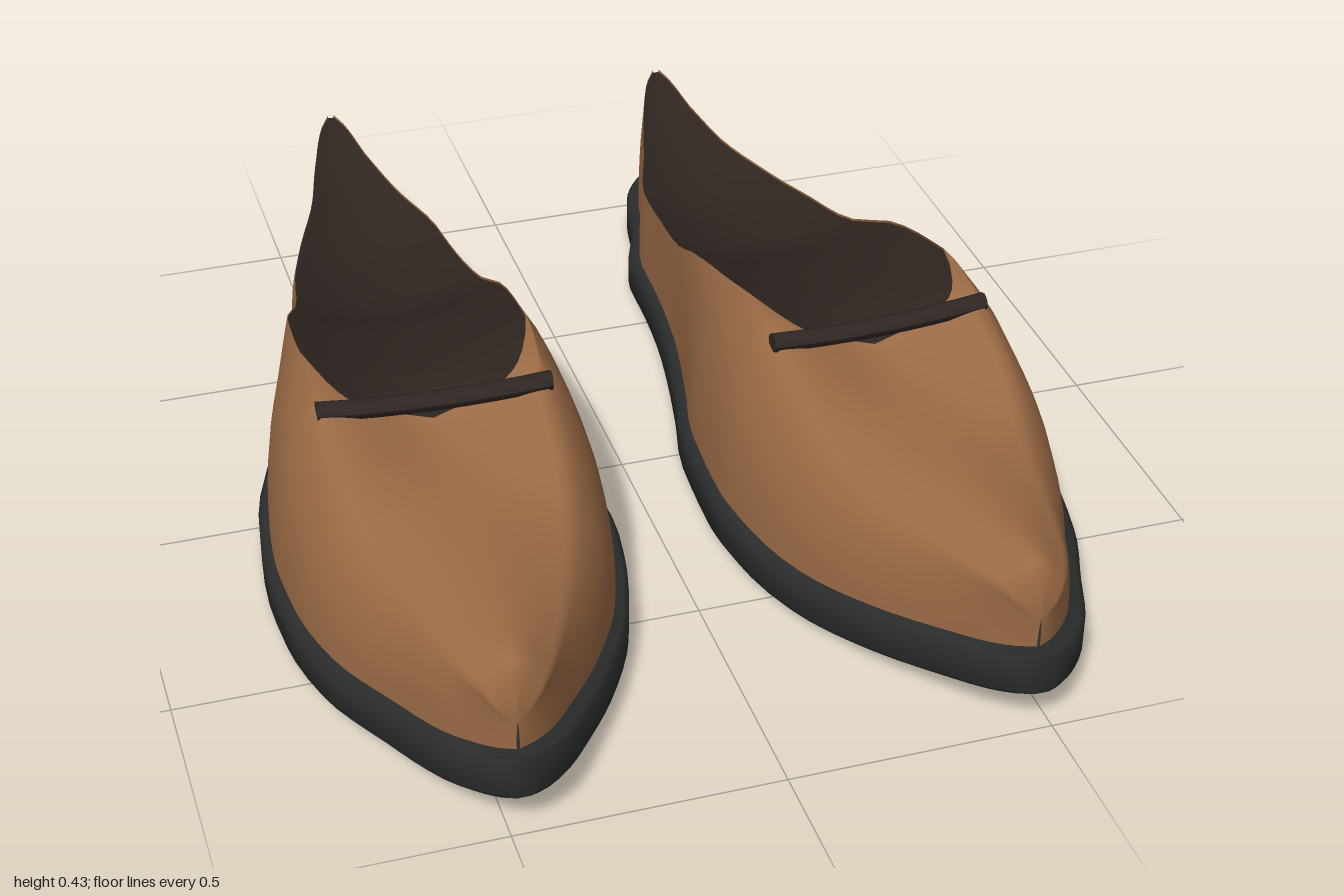
import * as THREE from 'three';
import { mergeGeometries, mergeVertices, toCreasedNormals } from 'three/addons/utils/BufferGeometryUtils.js';

// Sole outline: z, inner x, outer x
const SOLE = [
  [-1, .355, .39], [-.98, .33, .415], [-.9, .285, .46], [-.76, .255, .49], [-.63, .21, .535],
  [-.5, .205, .59], [-.38, .195, .605], [-.25, .175, .645], [-.1, .145, .70], [.06, .11, .75],
  [.27, .10, .772], [.4, .115, .765], [.57, .16, .73], [.75, .245, .66], [.89, .335, .602],
  [.95, .38, .56], [.985, .42, .525], [1, .452, .498],
];
// Top of the side walls: z, inner x, outer x, y
const SHOULDER = [
  [-.966, .366, .379, .36], [-.945, .345, .40, .34], [-.87, .315, .43, .30], [-.74, .275, .467, .275],
  [-.59, .23, .523, .267], [-.45, .222, .562, .28], [-.315, .212, .585, .305], [-.15, .20, .632, .375],
  [0, .205, .645, .415], [.1, .21, .65, .433], [.2, .22, .65, .43], [.26, .225, .65, .412],
  [.4, .235, .645, .37], [.57, .265, .615, .315], [.75, .325, .585, .29], [.88, .38, .555, .285],
  [.94, .415, .53, .275], [.958, .44, .51, .25], [.966, .4755, .4755, .22],
];
// Height of the vamp's centre line, how far the vamp closes the top, toe lift
const CREST = [[.13, .37], [.235, .355], [.35, .34], [.57, .337], [.88, .337], [.925, .334], [.95, .315], [.966, .25]];
const CLOSE = [[.05, 0], [.13, .08], [.2, .2], [.23, .38], [.238, 1]];
const LIFT = [[.48, 0], [.57, .007], [1, .082]];

// Monotone cubic reading of one table column
function read(table, z, col = 1) {
  const n = table.length - 1;
  if (z <= table[0][0]) return table[0][col];
  if (z >= table[n][0]) return table[n][col];
  const slope = k => (table[k + 1][col] - table[k][col]) / (table[k + 1][0] - table[k][0]);
  const tangent = k => {
    if (k === 0) return slope(0);
    if (k === n) return slope(n - 1);
    const a = slope(k - 1), b = slope(k);
    return a * b <= 0 ? 0 : 2 * a * b / (a + b);
  };
  let i = 0;
  while (table[i + 1][0] < z) i++;
  const h = table[i + 1][0] - table[i][0], t = (z - table[i][0]) / h, t2 = t * t, t3 = t2 * t;
  return (2 * t3 - 3 * t2 + 1) * table[i][col] + (t3 - 2 * t2 + t) * h * tangent(i)
    + (3 * t2 - 2 * t3) * table[i + 1][col] + (t3 - t2) * h * tangent(i + 1);
}

// Surface through rows of [x, y, z] points
function grid(rows, flip) {
  const m = rows[0].length, index = [];
  for (let i = 0; i < rows.length - 1; i++) {
    for (let j = 0; j < m - 1; j++) {
      const a = i * m + j, b = a + 1, c = a + m, d = c + 1;
      if (flip) index.push(a, c, b, b, c, d);
      else index.push(a, b, c, b, d, c);
    }
  }
  const g = new THREE.BufferGeometry();
  g.setAttribute('position', new THREE.Float32BufferAttribute(rows.flat(2), 3));
  g.setIndex(index);
  return g;
}

function stations(end, count, extra) {
  const zs = [...extra];
  for (let i = 0; i <= count; i++) zs.push(-end * Math.cos(Math.PI * i / count));
  return zs.sort((a, b) => a - b);
}
const UPPER_Z = stations(.966, 52, [.13, .17, .2, .215, .23, .233, .238, .26]);

// Sole: bevelled slab swept along z with a raised toe
function soleGeometry(s) {
  const rows = stations(1, 48, SOLE.slice(1, -1).map(r => r[0])).map(z => {
    const a = read(SOLE, z, 1), c = read(SOLE, z, 2), y = read(LIFT, z), t = .085;
    const b = Math.min(.01, (c - a) / 4);
    return [[a + b, 0], [c - b, 0], [c, b], [c, t - b], [c - b, t], [a + b, t], [a, t - b], [a, b], [a + b, 0]]
      .map(p => [s * p[0], y + p[1], z]);
  });
  const cap = row => {
    const x = (row[0][0] + row[1][0]) / 2, y = (row[0][1] + row[4][1]) / 2;
    return row.map(p => [x, y, p[2]]);
  };
  rows.unshift(cap(rows[0]));
  rows.push(cap(rows[rows.length - 1]));
  return toCreasedNormals(mergeVertices(grid(rows, s < 0)), 1);
}

// Half a cross-section: wall from the sole to the shoulder, then the vamp to the centre
function halfSection(z, outer) {
  const zs = z / .966;
  const soleIn = read(SOLE, zs, 1), soleOut = read(SOLE, zs, 2), mid = (soleIn + soleOut) / 2;
  const dir = outer ? 1 : -1;
  const bx = mid + dir * Math.max(0, (soleOut - soleIn) / 2 - (z < -.3 ? .0175 : .02));
  const by = .08 + read(LIFT, z);
  const sx = read(SHOULDER, z, outer ? 2 : 1), sy = read(SHOULDER, z, 3);
  const cx = (read(SHOULDER, z, 1) + read(SHOULDER, z, 2)) / 2, cy = read(CREST, z);
  const kx = bx + (sx - bx) * .06, ky = by + (sy - by) * .7;
  const pts = [];
  for (let j = 0; j <= 8; j++) {
    const t = j / 8, u = 1 - t;
    pts.push([u * u * bx + 2 * u * t * kx + t * t * sx, u * u * by + 2 * u * t * ky + t * t * sy, z]);
  }
  const close = read(CLOSE, z);
  for (let j = 1; j <= 10; j++) {
    const t = close * j / 10;
    const e = cy < sy ? t * t * (3 - 2 * t) : Math.sin(t * Math.PI / 2);
    pts.push([sx + (cx - sx) * t, sy + (cy - sy) * e, z]);
  }
  return pts;
}

function upperGeometry(s) {
  const halves = [true, false].map(outer => grid(
    UPPER_Z.map(z => halfSection(z, outer).map(p => [s * p[0], p[1], p[2]])),
    outer !== (s > 0)));
  const g = mergeVertices(mergeGeometries(halves), 1e-5);
  g.computeVertexNormals();
  return g;
}

// Lining: shallow dark hollow sagging between the two rims of the opening
function liningGeometry(s) {
  const rows = UPPER_Z.filter(z => z < .239).map(z => {
    const a = halfSection(z, false).at(-1), b = halfSection(z, true).at(-1);
    const half = (b[0] - a[0]) / 2, row = [];
    for (let j = 0; j <= 12; j++) {
      const u = j / 6 - 1;
      row.push([s * (a[0] + half * (1 + u)), a[1] - .005 - .25 * half * (1 - u * u), z]);
    }
    return row;
  });
  const g = grid(rows, s > 0);
  g.computeVertexNormals();
  return g;
}

// Lace bar: thin rod across the instep, sagging at its middle
function barGeometry(s) {
  const g = new THREE.CylinderGeometry(.019, .019, .44, 8, 8).rotateZ(Math.PI / 2);
  const p = g.attributes.position;
  for (let i = 0; i < p.count; i++) p.setY(i, p.getY(i) + .22 * p.getX(i) ** 2);
  g.computeVertexNormals();
  return g.rotateY(s * .05).translate(s * .436, .404, .255);
}

export function createModel() {
  const material = (color, side = THREE.FrontSide) => new THREE.MeshStandardMaterial({ color, side });
  const leather = material(0x9a6a45, THREE.DoubleSide);
  const lining = material(0x2e2520, THREE.DoubleSide);
  const rubber = material(0x2b2d2d);
  const cord = material(0x2f2724);

  const model = new THREE.Group();
  model.name = 'pairOfShoes';
  for (const s of [1, -1]) {
    const shoe = new THREE.Group();
    shoe.name = s > 0 ? 'leftShoe' : 'rightShoe';
    const add = (name, geometry, mat) => {
      const mesh = new THREE.Mesh(geometry, mat);
      mesh.name = name;
      shoe.add(mesh);
    };
    add('sole', soleGeometry(s), rubber);
    add('upper', upperGeometry(s), leather);
    add('lining', liningGeometry(s), lining);
    add('laceBar', barGeometry(s), cord);
    model.add(shoe);
  }
  return model;
}
